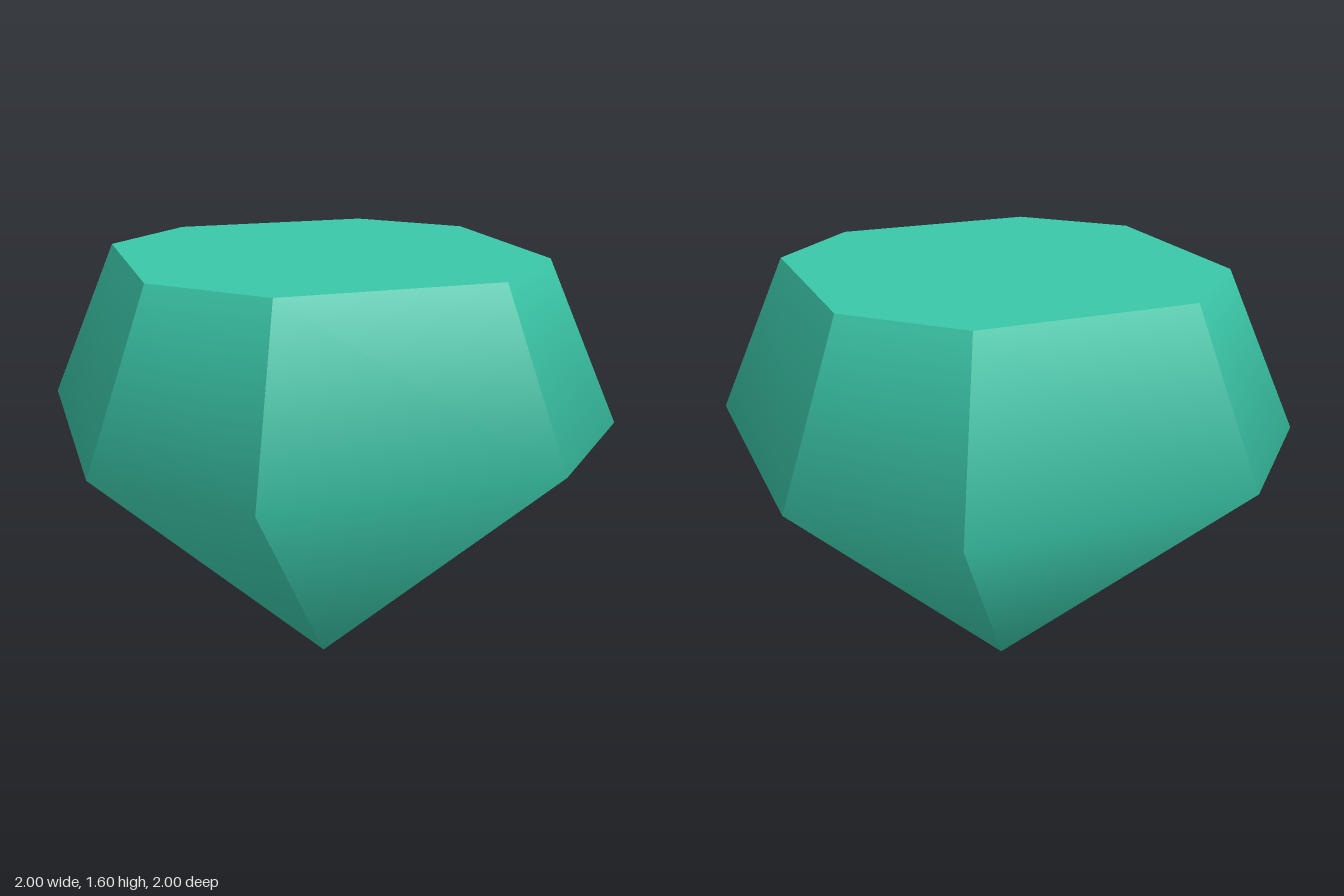
import * as THREE from 'three';

const TOP_Y = 1.6, GIRDLE_Y = 1.03, TABLE_SCALE = 0.75;

// Octagon corners, counter-clockwise seen from above (+x towards -z)
const CORNERS = [[1, 0.3], [1, -0.3], [0.3, -1], [-0.3, -1], [-1, -0.3], [-1, 0.3], [-0.3, 1], [0.3, 1]];

// One side of the gem: crown quad and pavilion triangle, shaded smoothly over the girdle
function facetGeometry([ax, az], [bx, bz]) {
  const s = TABLE_SCALE;
  const pos = [
    ax * s, TOP_Y, az * s, bx * s, TOP_Y, bz * s,
    ax, GIRDLE_Y, az, bx, GIRDLE_Y, bz,
    0, 0, 0,
  ];
  const out = new THREE.Vector3(ax + bx, 0, az + bz).multiplyScalar(0.5);
  const apothem = out.length();
  out.normalize();
  const tilt = (h, v) => out.clone().multiplyScalar(h).setY(v).normalize();
  const crown = tilt(TOP_Y - GIRDLE_Y, apothem * (1 - s));
  const girdle = tilt(0.974, -0.226);
  const tip = tilt(GIRDLE_Y, -apothem);
  const geo = new THREE.BufferGeometry();
  geo.setAttribute('position', new THREE.Float32BufferAttribute(pos, 3));
  geo.setAttribute('normal', new THREE.Float32BufferAttribute(
    [crown, crown, girdle, girdle, tip].flatMap((n) => n.toArray()), 3));
  geo.setIndex([0, 2, 3, 0, 3, 1, 2, 4, 3]);
  return geo;
}

export function createModel() {
  const gem = new THREE.Group();
  gem.name = 'gem';
  const green = new THREE.MeshStandardMaterial({ color: 0x3bc8a9 });
  green.name = 'emerald green';

  // Eight side facets meeting at the bottom point
  CORNERS.forEach((corner, i) => {
    const facet = new THREE.Mesh(facetGeometry(corner, CORNERS[(i + 1) % 8]), green);
    facet.name = `sideFacet${i + 1}`;
    gem.add(facet);
  });

  // Flat table on top
  const outline = new THREE.Shape(CORNERS.map(([x, z]) => new THREE.Vector2(x * TABLE_SCALE, -z * TABLE_SCALE)));
  const table = new THREE.Mesh(new THREE.ShapeGeometry(outline).rotateX(-Math.PI / 2), green);
  table.position.y = TOP_Y;
  table.name = 'tableFacet';
  gem.add(table);

  return gem;
}
